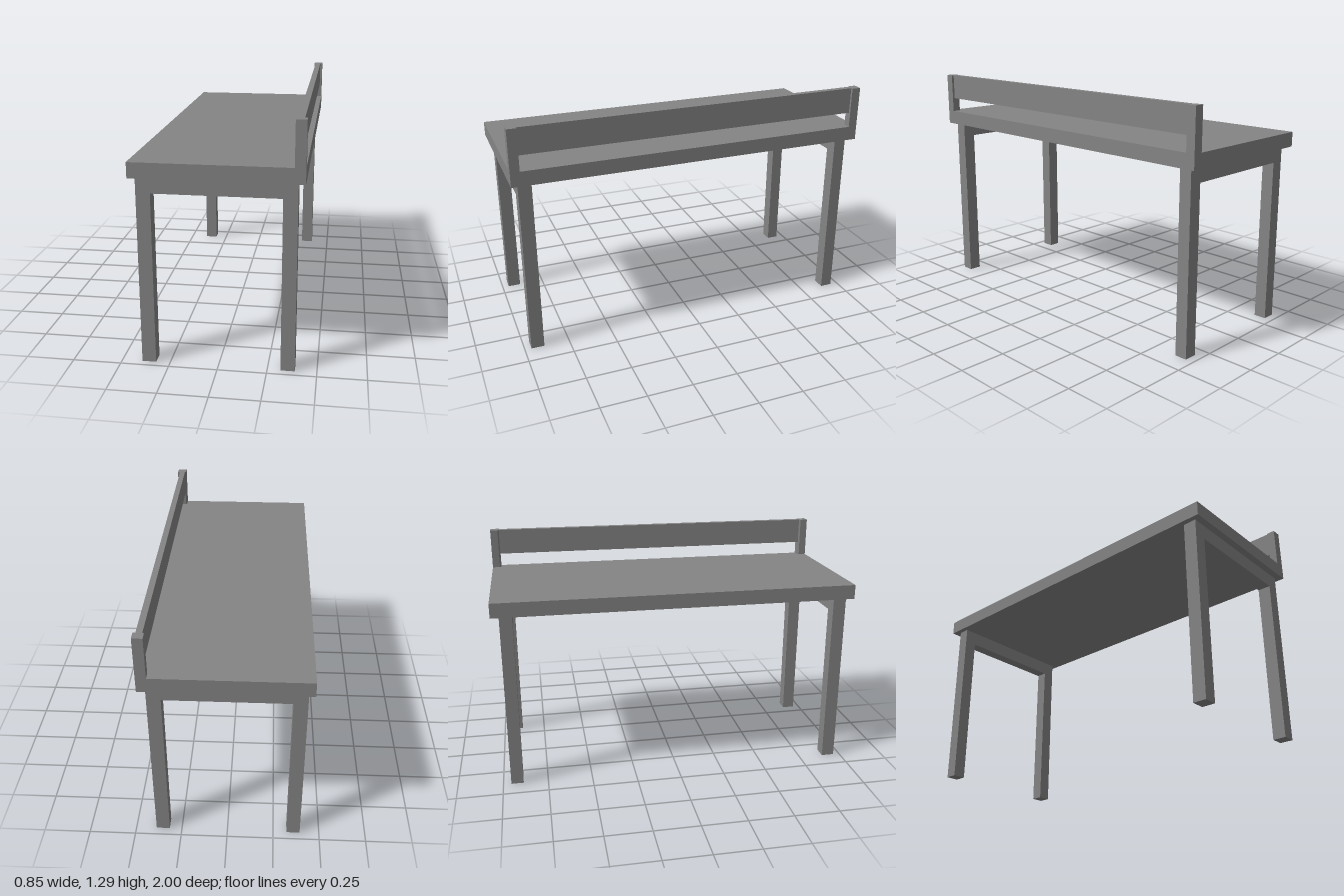
import * as THREE from 'three';

const material = new THREE.MeshStandardMaterial({ color: 0x848484, flatShading: true });

function add(group, name, geometry) {
  const mesh = new THREE.Mesh(geometry, material);
  mesh.name = name;
  group.add(mesh);
}

// Box given by its limits on each axis
function box([x0, x1], [y0, y1], [z0, z1]) {
  return new THREE.BoxGeometry(x1 - x0, y1 - y0, z1 - z0)
    .translate((x0 + x1) / 2, (y0 + y1) / 2, (z0 + z1) / 2);
}

function extrude(points, depth) {
  const shape = new THREE.Shape(points.map(([x, y]) => new THREE.Vector2(x, y)));
  return new THREE.ExtrudeGeometry(shape, { depth, bevelEnabled: false });
}

export function createModel() {
  const group = new THREE.Group();
  const topY = 1.067, underY = 0.987, railTop = 1.293, edgeX = 0.424;

  // Slab
  add(group, 'tabletop', box([-edgeX, edgeX], [underY, topY], [-1, 1]));

  // Two legs and their crossbar, one frame at each end
  const frame = [
    [-0.395, 0], [-0.323, 0], [-0.323, 0.905], [0.317, 0.905],
    [0.317, 0], [0.389, 0], [0.389, underY], [-0.395, underY],
  ];
  add(group, 'frontLegFrame', extrude(frame, 0.072).translate(0, 0, 0.891));
  add(group, 'backLegFrame', extrude(frame, 0.068).translate(0, 0, -0.956));

  // Short posts with a clipped inner corner
  for (const s of [1, -1]) {
    const outline = [
      [0.371, s], [edgeX, s], [edgeX, 0.95 * s], [0.379, 0.95 * s], [0.371, 0.958 * s],
    ];
    const post = extrude(outline, railTop - topY).rotateX(-Math.PI / 2).translate(0, topY, 0);
    add(group, s > 0 ? 'backRailPost' : 'frontRailPost', post);
  }

  // Board between the posts, leaving a gap above the top
  add(group, 'railBoard', box([0.379, 0.411], [1.148, railTop], [-0.95, 0.95]));

  return group;
}
